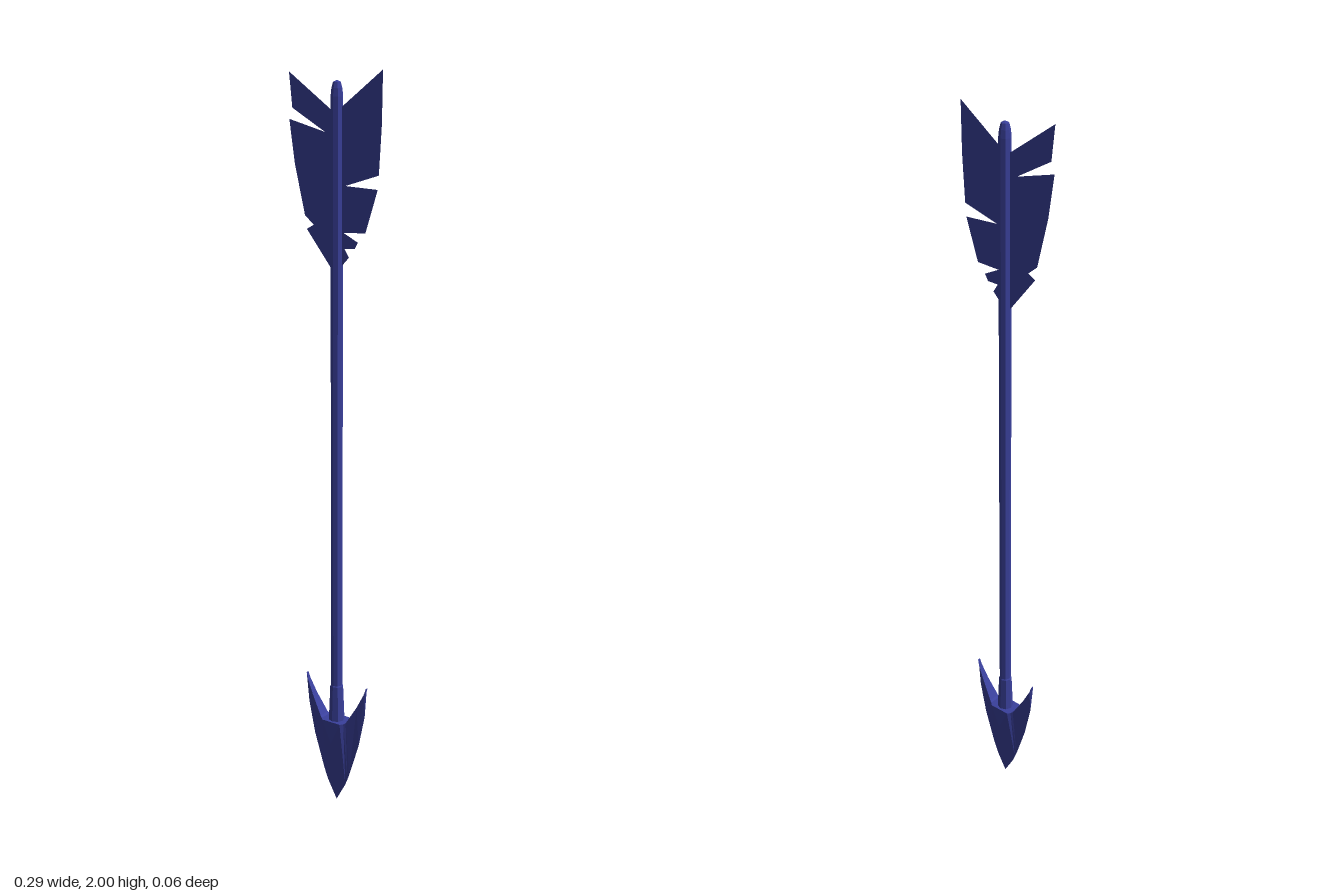
import * as THREE from 'three';

const CENTER_X = 0.004;

export function createModel() {
  const model = new THREE.Group();
  model.name = 'arrow';
  const material = new THREE.MeshStandardMaterial({ color: 0x3a409c, flatShading: true });
  const thin = material.clone();
  thin.side = THREE.DoubleSide;

  const add = (name, geometry, mat = material) => {
    const mesh = new THREE.Mesh(geometry, mat);
    mesh.name = name;
    model.add(mesh);
    return mesh;
  };
  const turned = (points) =>
    new THREE.LatheGeometry(points.map(([r, y]) => new THREE.Vector2(r, y)), 8);

  // Eight-sided shaft with a rounded nock end
  add('shaft', turned([
    [0.016, 0.2], [0.016, 1.935], [0.014, 1.955], [0.010, 1.97], [0, 1.975],
  ])).position.x = CENTER_X;

  // Socket that holds the head on the shaft
  add('socket', turned([
    [0.022, 0.22], [0.022, 0.25], [0.018, 0.35], [0.015, 0.355],
  ])).position.x = CENTER_X;

  add('head', headGeometry()).position.x = CENTER_X;

  // Thin torn feather vanes
  const vane = (points) =>
    new THREE.ShapeGeometry(new THREE.Shape(points.map(([x, y]) => new THREE.Vector2(x, y))));
  add('leftVane', vane([
    [0.004, 1.895], [0.02, 1.91], [0.143, 2.0], [0.141, 1.87], [0.133, 1.745],
    [0.03, 1.715], [0.13, 1.71], [0.093, 1.6], [0.025, 1.597], [0.07, 1.575],
    [0.06, 1.558], [0.028, 1.557], [0.042, 1.535], [0.01, 1.502], [0.004, 1.502],
  ]), thin);
  add('rightVane', vane([
    [0.004, 1.895], [-0.015, 1.903], [-0.147, 1.995], [-0.137, 1.905], [-0.033, 1.847],
    [-0.147, 1.877], [-0.13, 1.765], [-0.098, 1.635], [-0.07, 1.612], [-0.092, 1.6],
    [-0.015, 1.505], [0.004, 1.5],
  ]), thin);

  return model;
}

// Barbed head, lofted sideways through five-cornered sections
function headGeometry() {
  // x, top, lower end of the flat face, cutting edge, half thickness
  const half = [
    [0, 0.25, 0.185, 0.005, 0.028],
    [0.03, 0.25, 0.249, 0.058, 0.028],
    [0.037, 0.25, 0.249, 0.075, 0.02],
    [0.043, 0.254, 0.253, 0.09, 0.017],
    [0.075, 0.307, 0.306, 0.188, 0.010],
    [0.095, 0.347, 0.346, 0.28, 0.006],
    [0.101, 0.366, 0.365, 0.355, 0.004],
  ];
  const mirrored = half.slice(1).reverse().map(([x, ...rest]) => [-x, ...rest]);
  const stations = [...mirrored, ...half];
  const positions = [];
  const index = [];
  for (const [x, top, mid, edge, t] of stations) {
    positions.push(x, top, t, x, mid, t, x, edge, 0, x, mid, -t, x, top, -t);
  }
  const n = 5;
  for (let s = 0; s < stations.length - 1; s++) {
    for (let k = 0; k < n; k++) {
      const a = s * n + k;
      const b = s * n + (k + 1) % n;
      const c = b + n;
      const d = a + n;
      // Split the V-shaped flat symmetrically on both halves
      if (stations[s][0] < 0) index.push(a, b, c, a, c, d);
      else index.push(a, b, d, b, c, d);
    }
  }
  // Close both barb tips
  const last = (stations.length - 1) * n;
  for (let k = 1; k < n - 1; k++) {
    index.push(0, k + 1, k);
    index.push(last, last + k, last + k + 1);
  }
  const geometry = new THREE.BufferGeometry();
  geometry.setAttribute('position', new THREE.Float32BufferAttribute(positions, 3));
  geometry.setIndex(index);
  const flat = geometry.toNonIndexed();
  flat.computeVertexNormals();
  return flat;
}
